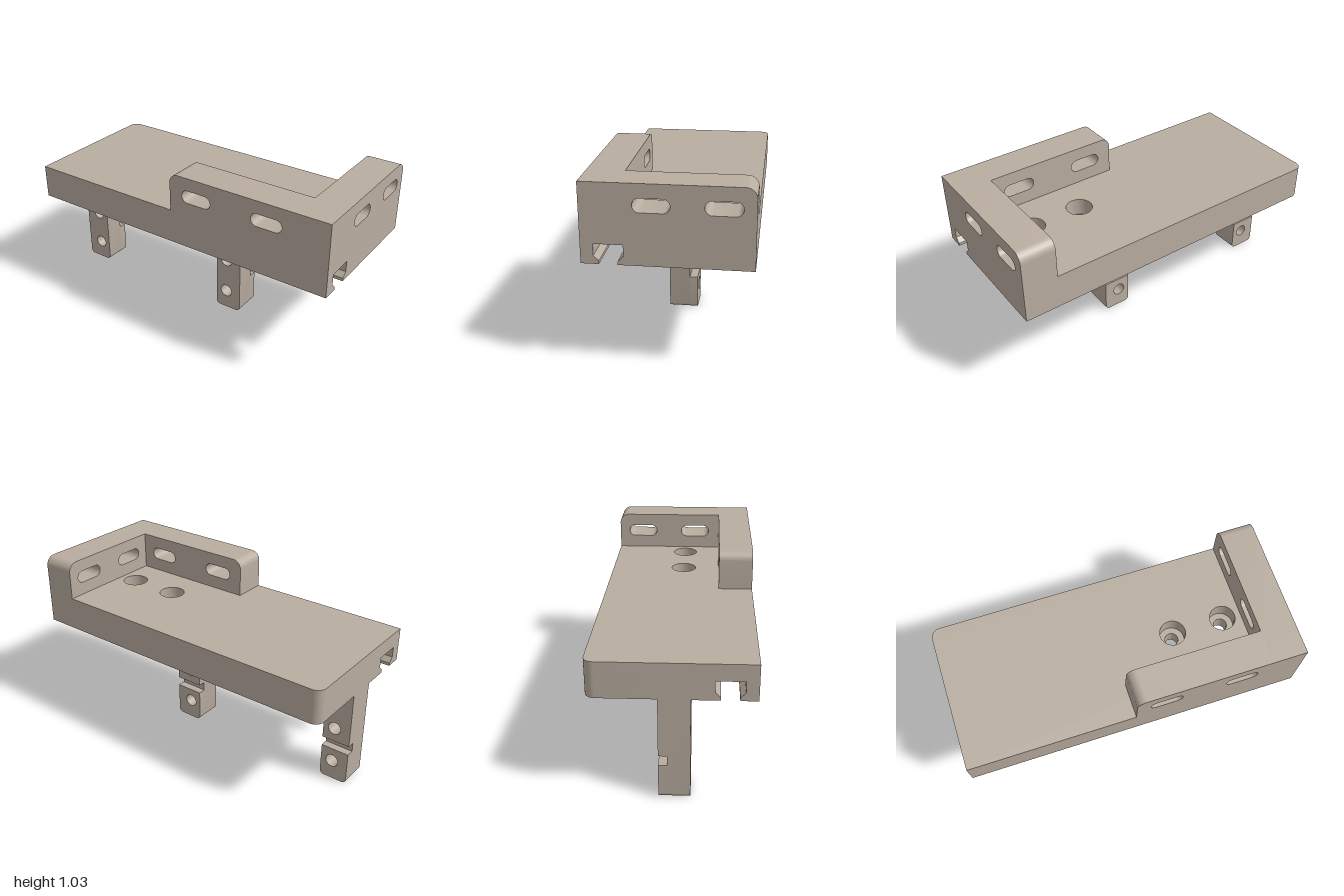
import * as THREE from 'three';
import { toCreasedNormals } from 'three/addons/utils/BufferGeometryUtils.js';

const K = 0.5523; // Bezier factor for a quarter circle

// Closed outline from [x, y, radius] corners
function outline(points) {
  const shape = new THREE.Shape();
  points.forEach(([x, y, r = 0], i) => {
    const c = new THREE.Vector2(x, y);
    const n = points.length;
    const toward = (q) => new THREE.Vector2(q[0], q[1]).sub(c).normalize();
    const u = toward(points[(i + n - 1) % n]);
    const v = toward(points[(i + 1) % n]);
    const at = (d, s) => c.clone().addScaledVector(d, s);
    const a = at(u, r);
    if (i === 0) shape.moveTo(a.x, a.y);
    else shape.lineTo(a.x, a.y);
    if (r > 0) {
      const h1 = at(u, r * (1 - K)), h2 = at(v, r * (1 - K)), b = at(v, r);
      shape.bezierCurveTo(h1.x, h1.y, h2.x, h2.y, b.x, b.y);
    }
  });
  shape.closePath();
  return shape;
}

function roundHole(x, y, r) {
  return new THREE.Path().absarc(x, y, r, 0, Math.PI * 2, true);
}

// Horizontal slot with round ends
function slotHole(x0, x1, y0, y1) {
  const r = (y1 - y0) / 2, y = (y0 + y1) / 2;
  const path = new THREE.Path();
  path.absarc(x0 + r, y, r, -Math.PI / 2, Math.PI / 2, true);
  path.absarc(x1 - r, y, r, Math.PI / 2, -Math.PI / 2, true);
  path.closePath();
  return path;
}

// Extrudes along an axis; outlines are (x, y) for z, (x, -z) for y, (-z, y) for x
function solid(name, material, axis, from, to, points, holes = []) {
  const shape = outline(points);
  shape.holes.push(...holes);
  let geo = new THREE.ExtrudeGeometry(shape, {
    depth: to - from, bevelEnabled: false, curveSegments: 16,
  });
  geo.translate(0, 0, from);
  if (axis === 'y') geo.rotateX(-Math.PI / 2);
  if (axis === 'x') geo.rotateY(Math.PI / 2);
  geo = toCreasedNormals(geo, 0.5);
  const mesh = new THREE.Mesh(geo, material);
  mesh.name = name;
  return mesh;
}

export function createModel() {
  const model = new THREE.Group();
  model.name = 'mountingBracket';
  const body = new THREE.MeshStandardMaterial({ color: 0xb9ada0 });
  body.name = 'warmGrey';
  const add = (name, ...args) => model.add(solid(name, body, ...args));

  const BASE = 0.6, DECK = 0.805, TOP = 1.035, Z = 0.442, SEAM = 0.2;
  const BORES = [0.37, 0.685];

  // Deck: two layers form the counterbored screw holes
  const deck = [[-1, -SEAM], [1, -SEAM], [1, Z], [-1, Z, 0.055]];
  const bores = (r) => BORES.map((x) => roundHole(x, -0.015, r));
  add('deckLower', 'y', BASE, 0.7, deck, bores(0.04));
  add('deckUpper', 'y', 0.7, DECK, deck, bores(0.077));

  // Front rail with the T-slot running along its underside
  add('slottedRail', 'x', -1, 1, [
    [-Z, BASE], [-0.347, BASE], [-0.347, 0.618], [-0.375, 0.646], [-0.375, 0.709],
    [-0.222, 0.709], [-0.222, 0.646], [-0.251, 0.618], [-0.251, BASE],
    [-SEAM, BASE], [-SEAM, DECK], [-Z, DECK],
  ]);

  // Upright walls with slots
  add('frontWall', 'z', 0.24, Z,
    [[0, DECK], [0.797, DECK], [0.797, TOP], [0, TOP, 0.055]],
    [slotHole(0.083, 0.273, 0.884, 0.959), slotHole(0.533, 0.723, 0.884, 0.959)]);
  add('sideWall', 'x', 0.797, 1,
    [[-Z, DECK], [Z, DECK], [Z, TOP, 0.06], [-Z, TOP]],
    [slotHole(-0.172, 0.018, 0.884, 0.959), slotHole(0.188, 0.378, 0.884, 0.959)]);

  // Leg frame: full front layer, back layer split by the notch
  const LEGS = [[-1, -0.828], [0.084, 0.256]];
  const [[l0, l1], [r0, r1]] = LEGS;
  const BACK = -0.07, NOTCH = -0.023, FRONT = 0.1, ARCH = 0.472, R = 0.026;
  const holesAt = (y) => LEGS.map(([a, b]) => roundHole((a + b) / 2 - Math.sign(a) * 0.014, y, 0.039));
  const frame = (y, r) => [
    [l0, y, r], [l1, y, r], [l1, ARCH], [r0, ARCH],
    [r0, y, r], [r1, y, r], [r1, BASE], [l0, BASE],
  ];
  add('legFrame', 'z', NOTCH, FRONT, frame(0, R), [...holesAt(0.345), ...holesAt(0.12)]);
  add('legFrameBack', 'z', BACK, NOTCH, frame(0.26, 0), holesAt(0.345));
  LEGS.forEach(([a, b], i) => {
    add(i ? 'leftFootBack' : 'rightFootBack', 'z', BACK, NOTCH,
      [[a, 0, R], [b, 0, R], [b, 0.203], [a, 0.203]], [holesAt(0.12)[i]]);
  });

  return model;
}
